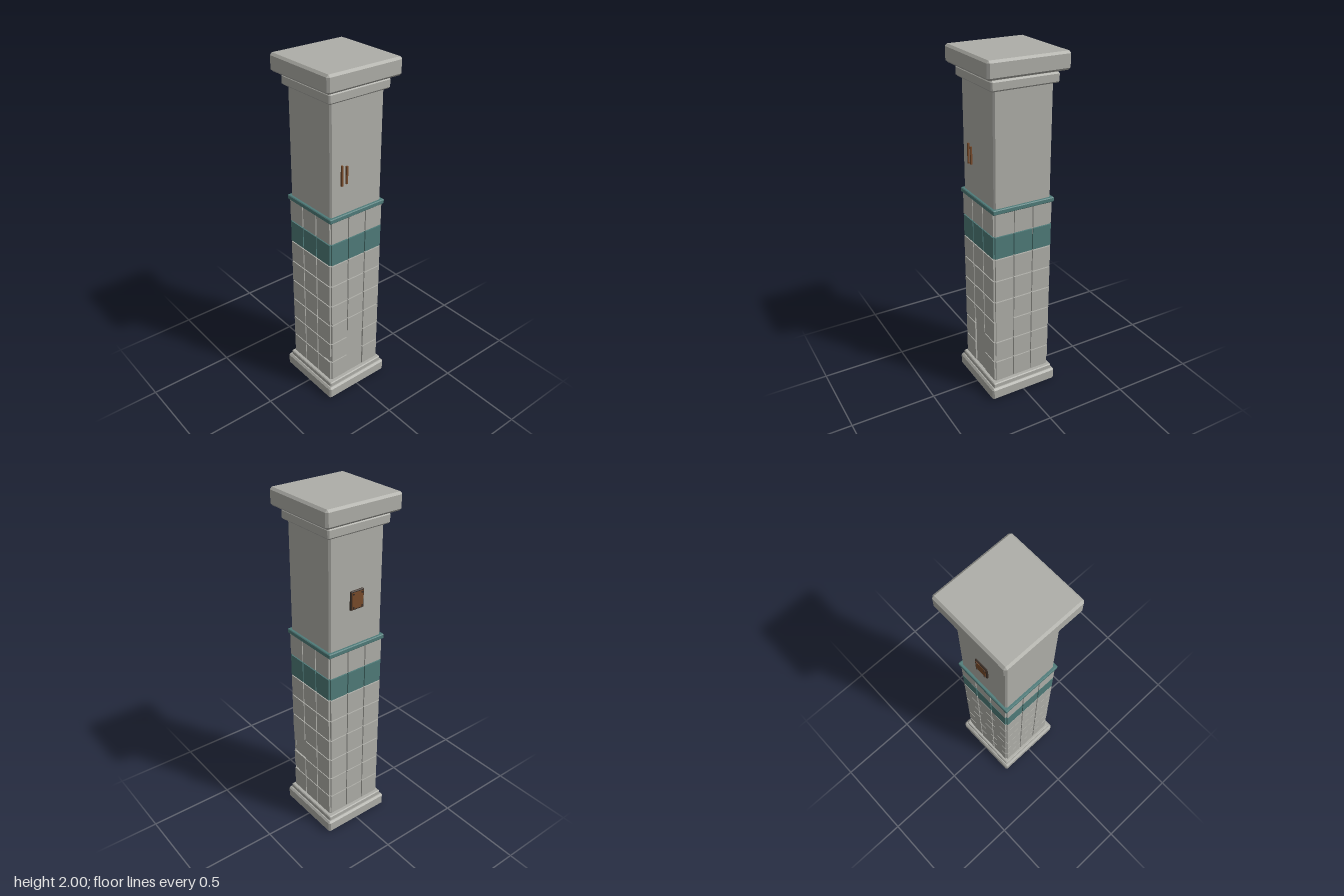
import * as THREE from 'three';
import { ConvexGeometry } from 'three/addons/geometries/ConvexGeometry.js';

const material = (name, color) => {
  const m = new THREE.MeshStandardMaterial({ color });
  m.name = name;
  return m;
};

// Box with every edge cut at 45 degrees
function chamferedBox(w, h, d, c) {
  const half = [w / 2, h / 2, d / 2];
  const points = [];
  for (const x of [-1, 1]) for (const y of [-1, 1]) for (const z of [-1, 1]) {
    for (let axis = 0; axis < 3; axis++) {
      const p = [x, y, z].map((s, i) => s * (half[i] - (i === axis ? 0 : c)));
      points.push(new THREE.Vector3(...p));
    }
  }
  return new ConvexGeometry(points);
}

// Flat tile; a chip removes a lower corner (side -1 left, 1 right)
function tileGeometry(w, h, depth, chip) {
  let pts = [[-w / 2, -h / 2], [w / 2, -h / 2], [w / 2, h / 2], [-w / 2, h / 2]];
  if (chip) {
    const { side, dx, dy } = chip;
    const cut = [[-w / 2, dy - h / 2], [-w / 2 + dx * 0.5, dy * 0.3 - h / 2], [-w / 2 + dx, -h / 2]];
    pts = [...cut, ...pts.slice(1)].map(([x, y]) => [-side * x, y]);
  }
  const shape = new THREE.Shape(pts.map(([x, y]) => new THREE.Vector2(x, y)));
  return new THREE.ExtrudeGeometry(shape, { depth, bevelEnabled: false });
}

export function createModel() {
  const stone = material('stone', 0xaeaea8);
  const teal = material('teal glaze', 0x4f7b79);
  const rust = material('rust', 0x774a2a);
  const iron = material('dark iron', 0x3a2e26);

  const model = new THREE.Group();
  model.name = 'tiledPillar';

  const add = (name, geometry, mat, x = 0, y = 0, z = 0, parent = model) => {
    const mesh = new THREE.Mesh(geometry, mat);
    mesh.name = name;
    mesh.position.set(x, y, z);
    parent.add(mesh);
    return mesh;
  };

  // Stacked square slabs: name, half width, bottom, top, chamfer, material
  const slabs = [
    ['base', 0.212, 0, 0.076, 0.01, stone],
    ['plinthStep', 0.196, 0.07, 0.103, 0.005, stone],
    ['tiledCore', 0.172, 0.09, 1.2, 0.006, stone],
    ['ledge', 0.188, 1.187, 1.214, 0.004, teal],
    ['shaft', 0.173, 1.2, 1.86, 0.009, stone],
    ['capitalMoulding', 0.196, 1.838, 1.893, 0.008, stone],
    ['capitalNeck', 0.176, 1.88, 1.92, 0.002, stone],
    ['capital', 0.235, 1.905, 2, 0.012, stone],
  ];
  for (const [name, half, y0, y1, c, mat] of slabs) {
    add(name, chamferedBox(half * 2, y1 - y0, half * 2, c), mat, 0, (y0 + y1) / 2);
  }

  // Wall tiles: faces 0 front, 1 left, 2 back, 3 right
  const pitchX = 0.117, pitchY = 0.135, gap = 0.007;
  const missing = new Set(['0,0,1', '0,1,1', '1,2,0']);
  const chips = {
    '0,2,1': { side: -1, dx: 0.1, dy: 0.04 },
    '1,1,0': { side: -1, dx: 0.055, dy: 0.04 },
    '2,0,0': { side: -1, dx: 0.05, dy: 0.04 },
    '3,1,2': { side: 1, dx: 0.055, dy: 0.035 },
  };
  for (let face = 0; face < 4; face++) {
    const wall = new THREE.Group();
    wall.name = ['frontTiles', 'leftTiles', 'backTiles', 'rightTiles'][face];
    wall.rotation.y = face * Math.PI / 2;
    model.add(wall);
    for (let row = 0; row < 8; row++) {
      for (let col = 0; col < 3; col++) {
        const key = `${face},${row},${col}`;
        if (missing.has(key)) continue;
        const geometry = tileGeometry(pitchX - gap, pitchY - gap, 0.014, chips[key]);
        const glazed = row === 6;
        add(glazed ? 'glazedTile' : 'tile', geometry, glazed ? teal : stone,
          (col - 1) * pitchX, 0.11 + (row + 0.5) * pitchY, 0.168, wall);
      }
    }
  }

  // Exposed rusty bars on the front
  add('exposedBar', new THREE.BoxGeometry(0.01, 0.115, 0.016), rust, -0.102, 1.438, 0.174);
  add('exposedBar', new THREE.BoxGeometry(0.01, 0.1, 0.016), rust, -0.07, 1.435, 0.174);

  // Rusty service plate with corner rivets on the back
  const plate = new THREE.Group();
  plate.name = 'servicePlate';
  plate.position.set(0, 1.473, -0.173);
  plate.rotation.y = Math.PI;
  model.add(plate);
  add('plateFrame', chamferedBox(0.088, 0.108, 0.016, 0.004), iron, 0, 0, 0.001, plate);
  add('platePanel', new THREE.BoxGeometry(0.072, 0.09, 0.006), rust, 0, 0, 0.008, plate);
  const rivet = new THREE.CylinderGeometry(0.005, 0.005, 0.006, 8).rotateX(Math.PI / 2);
  for (const x of [-1, 1]) for (const y of [-1, 1]) {
    add('rivet', rivet, iron, x * 0.028, y * 0.037, 0.012, plate);
  }
  return model;
}
